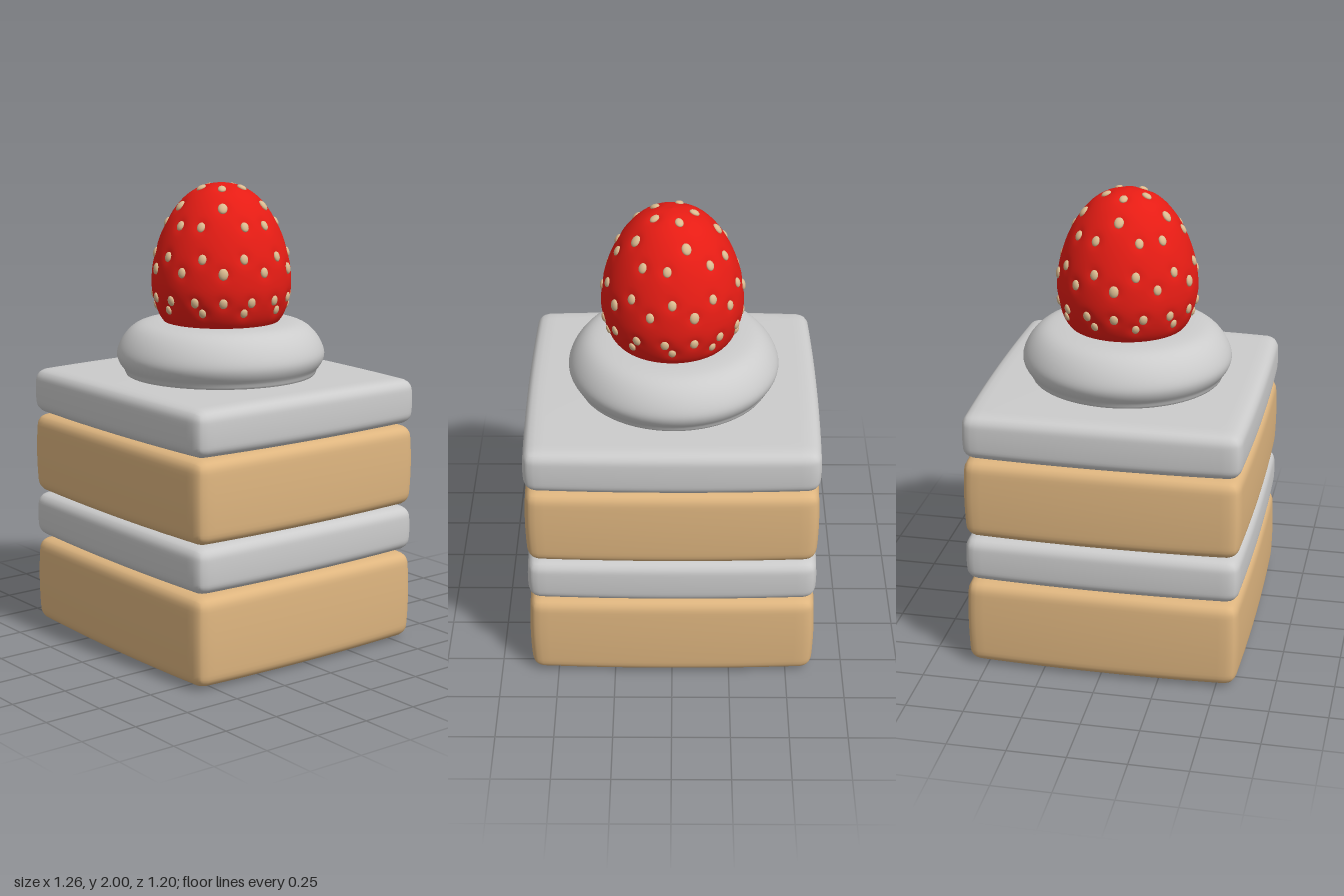
import * as THREE from 'three';
import { mergeVertices } from 'three/addons/utils/BufferGeometryUtils.js';

const material = (color) => new THREE.MeshStandardMaterial({ color });
const creamMat = material(0xcccccc);
const spongeMat = material(0xdeb57f);
const berryMat = material(0xe61c14);
const seedMat = material(0xdcbb90);

function addMesh(parent, name, geometry, mat) {
  const mesh = new THREE.Mesh(geometry, mat);
  mesh.name = name;
  parent.add(mesh);
  return mesh;
}

// Soft block: rounded edges and faces that swell slightly in the middle
function pillowBox(width, height, depth, radius) {
  let geometry = new THREE.BoxGeometry(2, 2, 2, 24, 24, 24);
  geometry.deleteAttribute('uv');
  geometry.deleteAttribute('normal');
  geometry = mergeVertices(geometry);
  const half = new THREE.Vector3(width / 2, height / 2, depth / 2);
  const inner = half.clone().subScalar(radius);
  const pos = geometry.attributes.position;
  const p = new THREE.Vector3(), core = new THREE.Vector3();
  const ease = (t) => Math.sin(t * Math.PI / 2);
  for (let i = 0; i < pos.count; i++) {
    p.fromBufferAttribute(pos, i);
    p.set(ease(p.x), ease(p.y), ease(p.z)).multiply(half);
    core.copy(p).clamp(inner.clone().negate(), inner);
    p.sub(core).setLength(radius).add(core);
    const u = p.clone().divide(half);
    const x2 = u.x * u.x, y2 = u.y * u.y, z2 = u.z * u.z;
    p.x -= 0.012 * u.x * (z2 + 0.6 * y2);
    p.z -= 0.012 * u.z * (x2 + 0.6 * y2);
    p.y -= 0.005 * u.y * (x2 + z2);
    pos.setXYZ(i, p.x, p.y, p.z);
  }
  geometry.computeVertexNormals();
  return geometry;
}

const profile = (points, n) =>
  new THREE.SplineCurve(points.map(([r, y]) => new THREE.Vector2(r, y))).getPoints(n)
    .map((v) => v.setX(Math.max(0, v.x)));

export function createModel() {
  const model = new THREE.Group();
  model.name = 'strawberryCake';

  // Alternating sponge and cream layers
  const layers = [
    ['lowerSponge', 0, 0.4, spongeMat],
    ['middleCream', 0.395, 0.61, creamMat],
    ['upperSponge', 0.6, 0.97, spongeMat],
    ['topCream', 0.96, 1.175, creamMat],
  ];
  for (const [name, y0, y1, mat] of layers) {
    const layer = addMesh(model, name, pillowBox(1.26, y1 - y0, 1.2, 0.05), mat);
    layer.position.y = (y0 + y1) / 2;
  }

  // Cream dollop
  const dollop = profile([[0, 1.15], [0.36, 1.155], [0.425, 1.2], [0.452, 1.26], [0.425, 1.33],
    [0.37, 1.383], [0.29, 1.402], [0.15, 1.403], [0, 1.403]], 48);
  addMesh(model, 'creamDollop', new THREE.LatheGeometry(dollop, 64), creamMat).position.x = -0.005;

  // Seed rows: height, count, first angle in degrees, spacing offset, size
  const berryProfile = profile([[0, 1.34], [0.18, 1.355], [0.255, 1.41], [0.291, 1.49], [0.302, 1.58],
    [0.286, 1.7], [0.237, 1.83], [0.165, 1.93], [0.085, 1.983], [0, 2]], 80);
  const rows = [
    [1.98, 5, 36, 0, 1], [1.905, 5, 36, 0, 1.15],
    [1.83, 5, 13, 0, 1], [1.83, 5, -13, 0, 1],
    [1.7, 10, 18, 0, 1], [1.64, 5, 36, 0, 1.15], [1.64, 5, 0, 0, 1],
    [1.515, 15, 12, 0, 1], [1.47, 10, 18, 0, 0.9],
  ];
  const seeds = [];
  for (const [y, count, start, , size] of rows) {
    const k = berryProfile.findIndex((v) => v.y >= y);
    const a = berryProfile[k - 1], b = berryProfile[k];
    const r = a.x + (b.x - a.x) * (y - a.y) / (b.y - a.y);
    const slope = new THREE.Vector2(b.y - a.y, a.x - b.x).normalize();
    for (let i = 0; i < count; i++) {
      const t = THREE.MathUtils.degToRad(start + i * 360 / count);
      const c = Math.cos(t), s = Math.sin(t);
      seeds.push({
        size,
        point: new THREE.Vector3(r * c, y, r * s),
        normal: new THREE.Vector3(slope.x * c, slope.y, slope.x * s),
      });
    }
  }

  // Strawberry body, dimpled around each seed
  const strawberry = new THREE.Group();
  strawberry.name = 'strawberry';
  model.add(strawberry);
  let body = new THREE.LatheGeometry(berryProfile, 128);
  body.deleteAttribute('uv');
  body.deleteAttribute('normal');
  body = mergeVertices(body, 1e-5);
  const pos = body.attributes.position;
  const p = new THREE.Vector3();
  for (let i = 0; i < pos.count; i++) {
    p.fromBufferAttribute(pos, i);
    const push = new THREE.Vector3();
    for (const { point, normal } of seeds) {
      push.addScaledVector(normal, -0.007 * Math.exp(-p.distanceToSquared(point) / 0.0007));
    }
    p.add(push);
    pos.setXYZ(i, p.x, p.y, p.z);
  }
  body.computeVertexNormals();
  addMesh(strawberry, 'strawberryBody', body, berryMat);

  // Seeds: small flattened ovals running up the berry
  const seedGeometry = new THREE.SphereGeometry(1, 14, 10);
  for (const { point, normal, size } of seeds) {
    const seed = addMesh(strawberry, 'seed', seedGeometry, seedMat);
    seed.position.copy(point).addScaledVector(normal, -0.003);
    seed.lookAt(point.clone().add(normal));
    seed.scale.set(0.018 * size, 0.022 * size, 0.011 * size);
  }
  return model;
}
